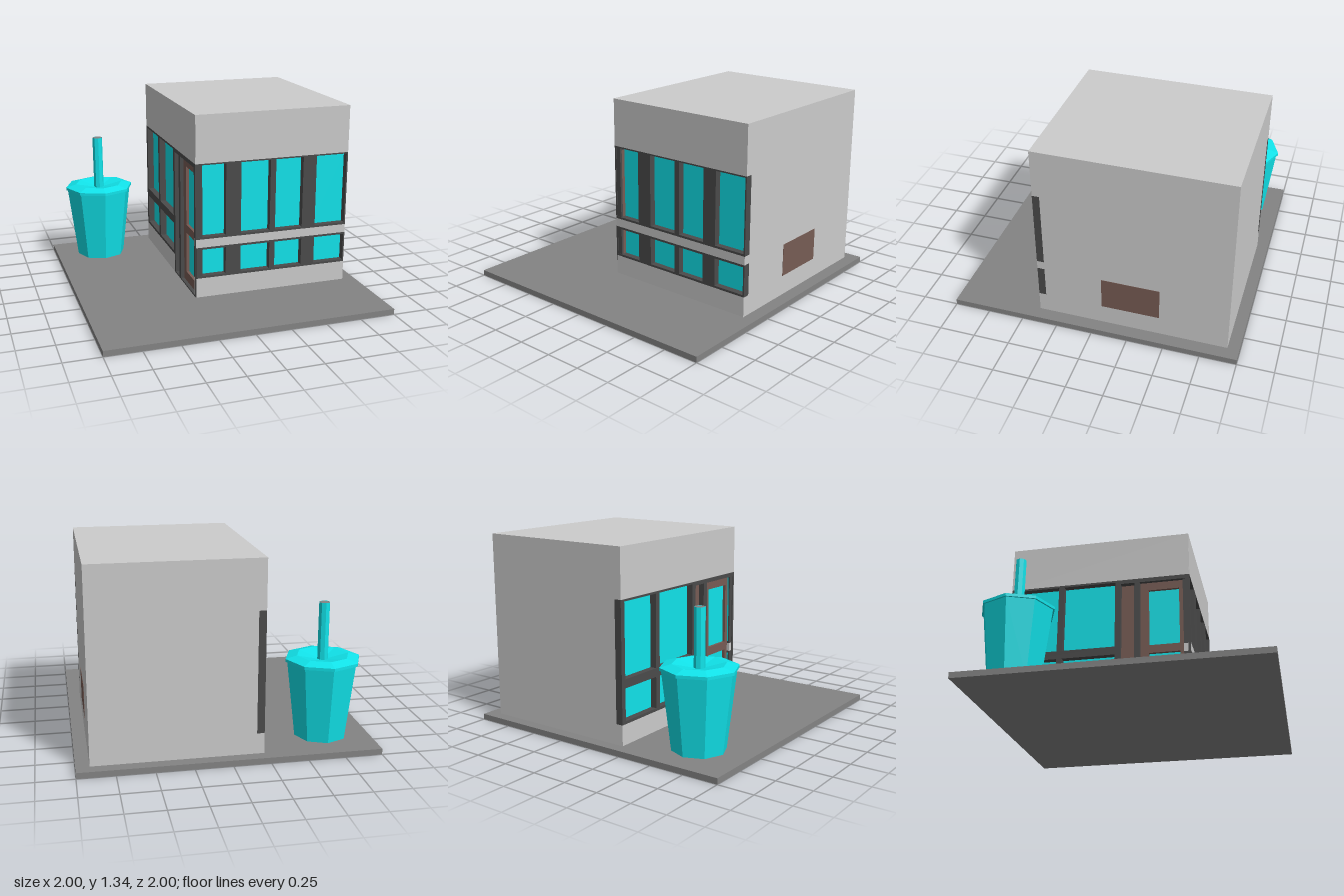
import * as THREE from 'three';

const mat = (color, extra = {}) => new THREE.MeshStandardMaterial({ color, ...extra });
const WALL = mat(0xcccccc);
const GROUND = mat(0x848484);
const FRAME = mat(0x4b4b4b);
const BROWN = mat(0x775c54);
const TEAL = mat(0x11e3ea);
const TEAL_FLAT = mat(0x11e3ea, { flatShading: true, side: THREE.DoubleSide });

function add(parent, name, geometry, material, x = 0, y = 0, z = 0) {
  const mesh = new THREE.Mesh(geometry, material);
  mesh.name = name;
  mesh.position.set(x, y, z);
  parent.add(mesh);
  return mesh;
}

// Box given by its limits
function block(parent, name, material, [x0, x1], [y0, y1], [z0, z1]) {
  return add(parent, name, new THREE.BoxGeometry(x1 - x0, y1 - y0, z1 - z0), material,
    (x0 + x1) / 2, (y0 + y1) / 2, (z0 + z1) / 2);
}

function trace(path, [x0, x1], [y0, y1]) {
  path.moveTo(x0, y0);
  path.lineTo(x1, y0);
  path.lineTo(x1, y1);
  path.lineTo(x0, y1);
  path.closePath();
  return path;
}

// Flat panel with rectangular holes, each given as [xRange, yRange]
function panel(parent, name, material, xs, ys, holes = [], depth = 0.05) {
  const shape = trace(new THREE.Shape(), xs, ys);
  for (const [hx, hy] of holes) shape.holes.push(trace(new THREE.Path(), hx, hy));
  return add(parent, name, new THREE.ExtrudeGeometry(shape, { depth, bevelEnabled: false }), material);
}

// Panel with a glass pane set back in every hole
function glazed(parent, name, material, xs, ys, holes, depth) {
  panel(parent, name, material, xs, ys, holes, depth);
  for (const [hx, hy] of holes) block(parent, 'windowPane', TEAL, hx, hy, [0, 0.004]);
}

const grid = (columns, rows) => rows.flatMap((r) => columns.map((c) => [c, r]));

function frontFacade() {
  const g = new THREE.Group();
  g.name = 'frontFacade';
  g.position.z = 0.35;
  const xs = [-0.215, 0.91];
  const columns = [[-0.205, 0], [0.11, 0.325], [0.365, 0.57], [0.67, 0.9]];
  panel(g, 'lowerWall', WALL, xs, [0.04, 0.18]);
  glazed(g, 'lowerWindowFrame', FRAME, xs, [0.18, 0.405], grid(columns, [[0.195, 0.39]]));
  panel(g, 'wallBand', WALL, xs, [0.405, 0.465]);
  glazed(g, 'upperWindowFrame', FRAME, xs, [0.465, 1.0], grid(columns, [[0.48, 0.99]]));
  panel(g, 'upperWall', WALL, xs, [1.0, 1.335]);
  return g;
}

// Entrance side; the panel's own x runs along world z and it faces -x
function entranceFacade() {
  const g = new THREE.Group();
  g.name = 'entranceFacade';
  g.position.x = -0.17;
  g.rotation.y = -Math.PI / 2;
  const end = 0.397;
  panel(g, 'lowerWall', WALL, [-0.92, -0.12], [0.04, 0.18]);
  panel(g, 'upperWall', WALL, [-0.92, end], [1.0, 1.335]);
  glazed(g, 'sideWindowFrame', FRAME, [-0.92, -0.12], [0.18, 1.0],
    grid([[-0.885, -0.56], [-0.52, -0.14]], [[0.2, 0.42], [0.48, 0.985]]));
  // Door surround with a side panel and a glazed door
  panel(g, 'doorSurround', FRAME, [-0.12, end], [0.04, 1.0],
    [[[-0.1, 0.0], [0.05, 0.97]], [[0.04, 0.38], [0.05, 0.97]]]);
  block(g, 'doorSidePanel', BROWN, [-0.1, 0.0], [0.05, 0.97], [0, 0.01]);
  glazed(g, 'door', BROWN, [0.04, 0.38], [0.05, 0.97],
    grid([[0.1, 0.32]], [[0.12, 0.42], [0.48, 0.91]]), 0.025);
  return g;
}

function cup() {
  const g = new THREE.Group();
  g.name = 'cup';
  g.position.set(-0.665, 0, -0.7);
  const profile = [[0, 0.055], [0.18, 0.055], [0.243, 0.58], [0.255, 0.58], [0.255, 0.6],
    [0.177, 0.62], [0.037, 0.59]].map(([r, y]) => new THREE.Vector2(r, y));
  add(g, 'cupAndLid', new THREE.LatheGeometry(profile, 8), TEAL_FLAT);
  add(g, 'straw', new THREE.CylinderGeometry(0.037, 0.037, 0.4, 8, 1, true), TEAL_FLAT, 0, 0.778, 0);
  add(g, 'strawEnd', new THREE.CircleGeometry(0.036, 8).rotateX(-Math.PI / 2), GROUND, 0, 0.977, 0);
  return g;
}

export function createModel() {
  const model = new THREE.Group();
  model.name = 'shop';
  block(model, 'ground', GROUND, [-1, 1], [0, 0.04], [-1, 1]);
  block(model, 'buildingCore', WALL, [-0.17, 0.91], [0.04, 1.335], [-0.92, 0.35]);
  block(model, 'wallPatch', BROWN, [0.9, 0.912], [0.18, 0.41], [-0.45, -0.05]);
  model.add(frontFacade(), entranceFacade(), cup());
  return model;
}
